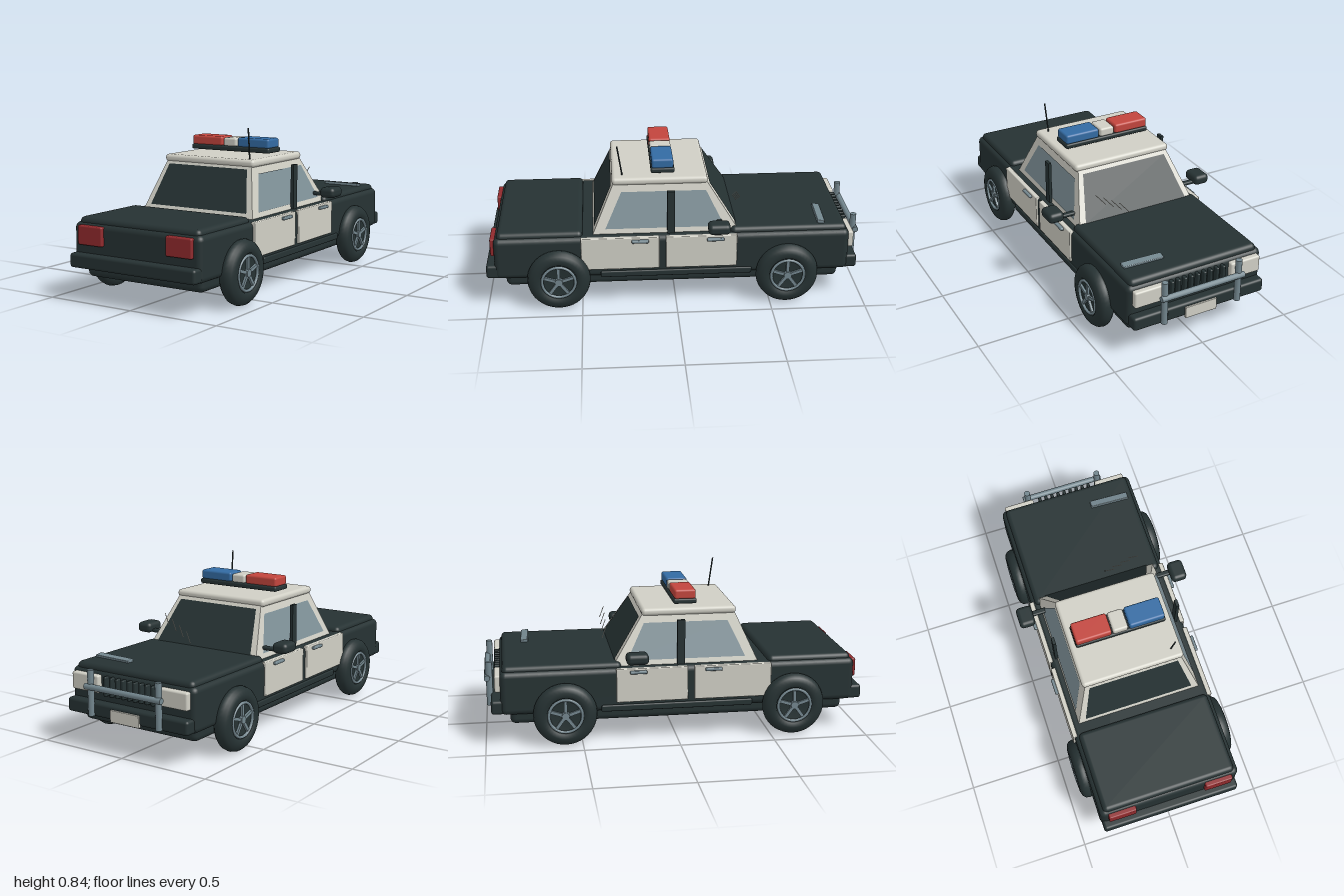
import * as THREE from 'three';
import { RoundedBoxGeometry } from 'three/addons/geometries/RoundedBoxGeometry.js';

const mat = (name, color, side = THREE.FrontSide) => {
  const m = new THREE.MeshStandardMaterial({ color, side });
  m.name = name;
  return m;
};

export function createModel() {
  const dark = mat('dark paint', 0x263233);
  const white = mat('off white paint', 0xd0cfc5);
  const glass = mat('side glass', 0x7f9198, THREE.DoubleSide);
  const metal = mat('grey metal', 0x73868e);
  const red = mat('red lamp', 0xc2453d);
  const blue = mat('blue lamp', 0x336ba3);
  const tail = mat('tail lamp red', 0x912a2d);

  const car = new THREE.Group();
  car.name = 'car';

  const add = (name, geo, material, parent = car) => {
    const m = new THREE.Mesh(geo, material);
    m.name = name;
    parent.add(m);
    return m;
  };
  // rounded box given by its extents
  const block = (name, material, x0, x1, y0, y1, z0, z1, r = 0.01) => {
    const w = x1 - x0, h = y1 - y0, d = z1 - z0;
    const geo = r > 0
      ? new RoundedBoxGeometry(w, h, d, 3, Math.min(r, w / 2.01, h / 2.01, d / 2.01))
      : new THREE.BoxGeometry(w, h, d);
    const m = add(name, geo, material);
    m.position.set((x0 + x1) / 2, (y0 + y1) / 2, (z0 + z1) / 2);
    return m;
  };
  // the same block on both sides
  const pair = (name, material, x0, x1, ...rest) => {
    block(name + 'Left', material, x0, x1, ...rest);
    block(name + 'Right', material, -x1, -x0, ...rest);
  };
  const rod = (name, material, a, b, r) => {
    const from = new THREE.Vector3(...a), to = new THREE.Vector3(...b);
    const dir = to.clone().sub(from);
    const m = add(name, new THREE.CylinderGeometry(r, r, dir.length(), 12), material);
    m.position.copy(from).addScaledVector(dir, 0.5);
    m.quaternion.setFromUnitVectors(new THREE.Vector3(0, 1, 0), dir.normalize());
    return m;
  };

  // Body, deck panels and bumpers
  block('underbody', dark, -0.355, 0.355, 0.107, 0.2, -0.87, 0.9, 0.03);
  block('body', dark, -0.386, 0.386, 0.165, 0.395, -0.918, 0.955, 0.03);
  block('trunkLid', dark, -0.365, 0.365, 0.34, 0.42, 0.49, 0.938, 0.025);
  block('hood', dark, -0.365, 0.365, 0.34, 0.42, -0.905, -0.29, 0.025);
  block('rearBumper', dark, -0.38, 0.38, 0.17, 0.243, 0.92, 1.0, 0.015);
  block('noseBumper', dark, -0.376, 0.376, 0.17, 0.243, -0.967, -0.85, 0.015);
  pair('sill', dark, 0.37, 0.394, 0.165, 0.2, -0.4, 0.4, 0.008);

  // Doors and handles
  pair('rearDoor', white, 0.37, 0.396, 0.213, 0.393, 0.09, 0.5, 0.005);
  pair('frontDoor', white, 0.37, 0.396, 0.213, 0.393, -0.32, 0.055, 0.005);
  pair('rearHandle', metal, 0.39, 0.413, 0.367, 0.383, 0.145, 0.235, 0.006);
  pair('frontHandle', metal, 0.39, 0.413, 0.367, 0.383, -0.25, -0.16, 0.006);

  // Cabin: a box tapered toward the roof
  const yB = 0.385, yT = 0.65;
  const corner = (sx, sz, y) => {
    const t = (y - yB) / (yT - yB);
    const x = sx * THREE.MathUtils.lerp(0.345, 0.265, t);
    const z = sz > 0 ? THREE.MathUtils.lerp(0.44, 0.322, t) : THREE.MathUtils.lerp(-0.34, -0.168, t);
    return new THREE.Vector3(x, y, z);
  };
  const cabinGeo = new THREE.BoxGeometry(2, 2, 2);
  const p = cabinGeo.attributes.position;
  for (let i = 0; i < p.count; i++) {
    const v = corner(p.getX(i), p.getZ(i), p.getY(i) > 0 ? yT : yB);
    p.setXYZ(i, v.x, v.y, v.z);
  }
  cabinGeo.computeVertexNormals();
  add('cabin', cabinGeo, white);
  block('roof', white, -0.28, 0.28, 0.64, 0.68, -0.172, 0.33, 0.018);

  // Windows: flat panes laid just outside the cabin faces
  const pane = (name, material, a, b, y0, y1, in0, in1, inTop0 = in0, inTop1 = in1) => {
    const at = (y, k0, k1) => {
      const P = corner(...a, y), Q = corner(...b, y), d = Q.clone().sub(P).normalize();
      return [P.addScaledVector(d, k0), Q.addScaledVector(d, -k1)];
    };
    const [A, B] = at(y0, in0, in1), [D, C] = at(y1, inTop0, inTop1);
    const n = B.clone().sub(A).cross(D.clone().sub(A)).normalize().multiplyScalar(0.004);
    const geo = new THREE.BufferGeometry().setFromPoints([A, B, C, D].map(v => v.add(n)));
    geo.setIndex([0, 1, 2, 0, 2, 3]);
    geo.computeVertexNormals();
    add(name, geo, material);
  };
  pane('rearWindow', dark, [-1, 1], [1, 1], 0.418, 0.63, 0.034, 0.034, 0.026, 0.026);
  pane('windshield', dark, [1, -1], [-1, -1], 0.418, 0.63, 0.034, 0.034, 0.026, 0.026);
  pane('sideWindowLeft', glass, [1, 1], [1, -1], 0.42, 0.605, 0.055, 0.06, 0.06, 0.035);
  pane('sideWindowRight', glass, [-1, -1], [-1, 1], 0.42, 0.605, 0.06, 0.055, 0.035, 0.06);
  pair('doorPillar', dark, 0.338, 0.355, 0.38, 0.633, 0.005, 0.045, 0);

  // Glare strokes in front of the windshield
  for (let i = 0; i < 4; i++) {
    const x = 0.06 + i * 0.047, y = 0.44 + i * 0.028;
    rod('glareStroke', white, [x, y, -0.352], [x + 0.045, y + 0.052, -0.325], 0.002);
  }

  // Mirrors
  pair('mirrorArm', dark, 0.32, 0.41, 0.435, 0.455, -0.245, -0.215, 0.008);
  pair('mirror', dark, 0.398, 0.485, 0.434, 0.49, -0.275, -0.16, 0.022);

  // Lamps, grille and plate
  pair('tailLamp', tail, 0.193, 0.345, 0.285, 0.383, 0.94, 0.975, 0.008);
  pair('headlamp', white, 0.188, 0.36, 0.285, 0.375, -0.946, -0.9, 0.01);
  for (let i = 0; i < 9; i++) {
    const x = -0.148 + i * 0.037;
    block('grilleBar', dark, x - 0.009, x + 0.009, 0.275, 0.375, -0.945, -0.9, 0.006);
  }
  block('plate', white, -0.09, 0.09, 0.162, 0.225, -0.976, -0.96, 0.003);

  // Push bar
  for (const s of [1, -1]) rod('pushBarPost', metal, [s * 0.212, 0.175, -0.972], [s * 0.212, 0.41, -0.972], 0.017);
  rod('pushBarRail', metal, [-0.238, 0.325, -0.983], [0.238, 0.325, -0.983], 0.016);

  // Hood vent
  const vent = block('hoodVent', metal, 0.115, 0.335, 0.416, 0.434, -0.795, -0.755, 0.004);
  vent.rotation.set(-0.15, -0.04, 0);

  // Roof light bar
  block('lightBarBase', dark, -0.248, 0.248, 0.692, 0.72, 0, 0.125, 0.01);
  block('redLight', red, -0.245, -0.05, 0.716, 0.768, 0.006, 0.12, 0.012);
  block('middleLight', white, -0.043, 0.04, 0.716, 0.764, 0.006, 0.12, 0.012);
  block('blueLight', blue, 0.048, 0.243, 0.716, 0.768, 0.006, 0.12, 0.012);

  // Antenna
  rod('antenna', dark, [0.224, 0.67, 0.273], [0.231, 0.84, 0.299], 0.004);

  // Wheels: lathed tyre, rim ring and five spokes
  const profile = [[0, -0.042], [0.125, -0.042], [0.148, -0.035], [0.161, -0.02], [0.166, 0],
    [0.161, 0.02], [0.148, 0.035], [0.125, 0.042], [0.1, 0.042], [0.094, 0.028], [0, 0.028]]
    .map(([r, y]) => new THREE.Vector2(r, y));
  const tyreGeo = new THREE.LatheGeometry(profile, 40).rotateZ(-Math.PI / 2);
  const ringGeo = new THREE.TorusGeometry(0.087, 0.008, 8, 40).rotateY(Math.PI / 2);
  const hubGeo = new THREE.CylinderGeometry(0.02, 0.024, 0.02, 16).rotateZ(-Math.PI / 2);
  const backGeo = new THREE.CylinderGeometry(0.09, 0.09, 0.006, 32).rotateZ(-Math.PI / 2);
  const spokeGeo = new THREE.BoxGeometry(0.012, 0.08, 0.017).translate(0, 0.046, 0);
  for (const s of [1, -1]) {
    for (const z of [0.62, -0.588]) {
      const wheel = new THREE.Group();
      wheel.name = 'wheel';
      wheel.position.set(s * 0.397, 0.166, z);
      if (s < 0) wheel.rotation.y = Math.PI;
      add('tyre', tyreGeo, dark, wheel);
      add('rimRing', ringGeo, metal, wheel).position.x = 0.037;
      add('hub', hubGeo, metal, wheel).position.x = 0.034;
      add('rimBack', backGeo, metal, wheel).position.x = -0.042;
      for (let i = 0; i < 5; i++) {
        const spoke = add('spoke', spokeGeo, metal, wheel);
        spoke.position.x = 0.034;
        spoke.rotation.x = (i * Math.PI * 2) / 5;
      }
      car.add(wheel);
    }
  }
  return car;
}
